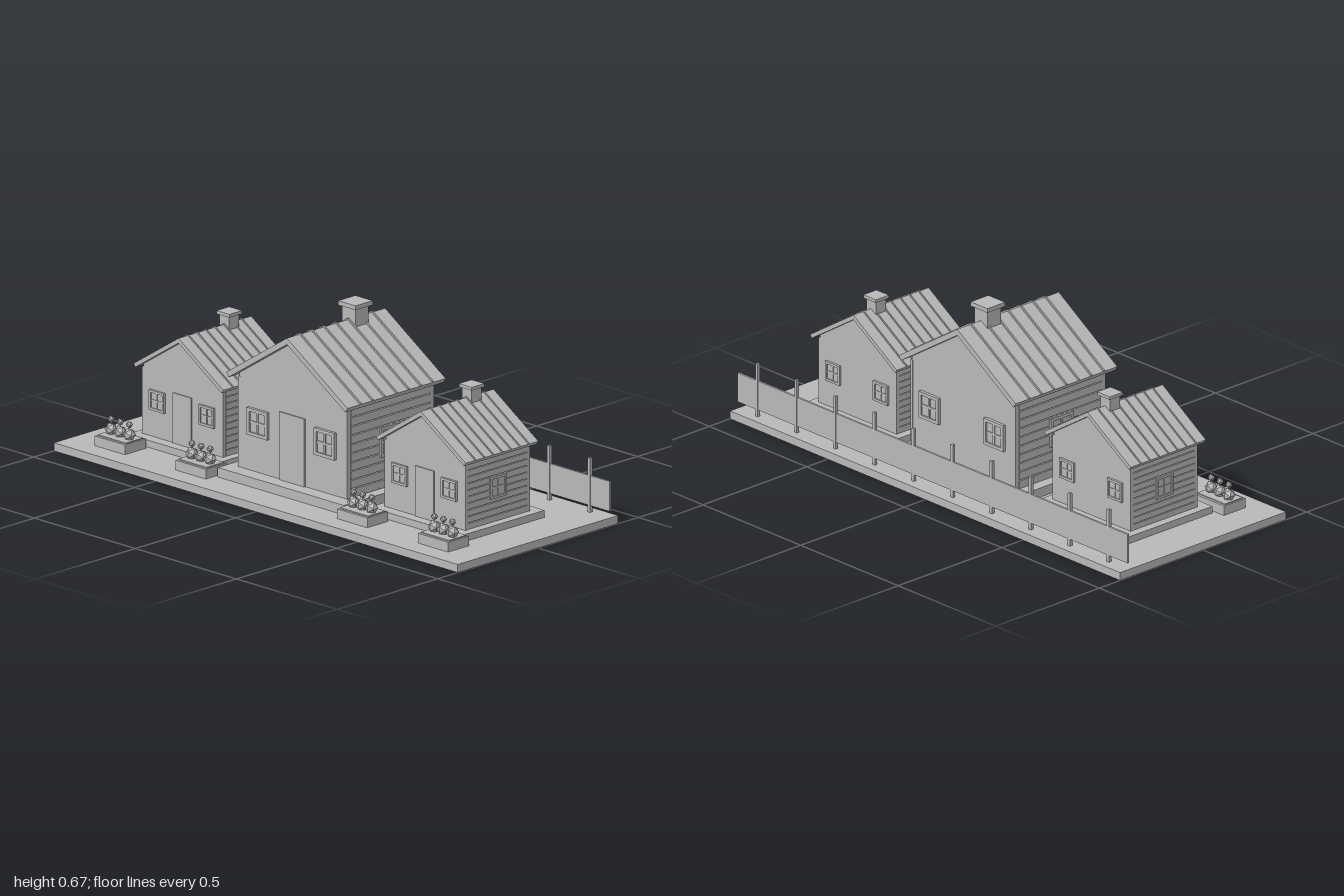
import * as THREE from 'three';

const grey = new THREE.MeshStandardMaterial({ color: 0xb8b8b8 });
grey.name = 'plain grey';

function add(parent, name, geometry, x = 0, y = 0, z = 0) {
  const mesh = new THREE.Mesh(geometry, grey);
  mesh.name = name;
  mesh.position.set(x, y, z);
  parent.add(mesh);
  return mesh;
}

const box = (parent, name, w, h, d, x, y, z) =>
  add(parent, name, new THREE.BoxGeometry(w, h, d), x, y, z);

function group(parent, name, x = 0, y = 0, z = 0) {
  const g = new THREE.Group();
  g.name = name;
  g.position.set(x, y, z);
  parent.add(g);
  return g;
}

// Four-pane window facing +z, its back on z = 0
function makeWindow(parent, size, x, y, z, turn) {
  const g = group(parent, 'window', x, y, z);
  g.rotation.y = turn;
  const bar = 0.012, half = size / 2 - bar / 2;
  box(g, 'windowPane', size - 0.004, size - 0.004, 0.006, 0, 0, 0.003);
  for (const s of [-1, 1]) {
    box(g, 'windowSideFrame', bar, size, 0.012, s * half, 0, 0.006);
    box(g, 'windowCrossFrame', size - 2 * bar, bar, 0.012, 0, s * half, 0.006);
  }
  box(g, 'windowMullion', 0.008, size - 2 * bar, 0.01, 0, 0, 0.005);
  box(g, 'windowTransom', size - 2 * bar, 0.008, 0.009, 0, 0, 0.0045);
}

// Cottage measured from the top of the ground slab
function makeHouse(parent, name, x, scale) {
  const g = group(parent, name, x, 0.03, 0);
  g.scale.setScalar(scale);
  const floor = 0.035, halfW = 0.262, halfD = 0.216;
  const ridge = 0.575, slope = 0.64, angle = Math.atan(slope);

  box(g, 'foundation', 0.625, floor, 0.55, 0, floor / 2, 0);

  // Gabled walls
  const eave = ridge - 0.024 - slope * halfW;
  const shape = new THREE.Shape();
  shape.moveTo(-halfW, floor);
  shape.lineTo(halfW, floor);
  shape.lineTo(halfW, eave);
  shape.lineTo(0, ridge - 0.024);
  shape.lineTo(-halfW, eave);
  const walls = new THREE.ExtrudeGeometry(shape, { depth: halfD * 2, bevelEnabled: false });
  add(g, 'walls', walls, 0, 0, -halfD);

  for (const s of [-1, 1]) {
    // Side boards and corner posts
    const pitch = 0.033;
    for (let i = 0; i < 10; i++) {
      box(g, 'sideBoard', 0.012, 0.029, 0.4, s * (halfW + 0.004), floor + pitch * (i + 0.5), 0);
    }
    for (const e of [-1, 1]) {
      box(g, 'cornerPost', 0.012, 0.335, 0.018, s * (halfW + 0.002), floor + 0.1675, e * 0.208);
    }

    // Roof slab, with its top running from ridge to eave
    const r = group(g, 'roofSide', 0, ridge, 0);
    r.rotation.y = s < 0 ? Math.PI : 0;
    const slab = new THREE.Shape();
    const ex = 0.3, ey = -slope * ex, t = 0.02;
    slab.moveTo(0, 0);
    slab.lineTo(0, -t / Math.cos(angle));
    slab.lineTo(ex - t * Math.sin(angle), ey - t * Math.cos(angle));
    slab.lineTo(ex, ey);
    add(r, 'roofSlab', new THREE.ExtrudeGeometry(slab, { depth: 0.49, bevelEnabled: false }), 0, 0, -0.245);

    // Raised roof seams
    for (let i = -3; i <= 3; i++) {
      const seam = box(r, 'roofSeam', Math.hypot(ex, ey), 0.01, 0.006, ex / 2, ey / 2 + 0.001, i * 0.06);
      seam.rotation.z = -angle;
    }

    // Front, back and side windows
    makeWindow(g, 0.1, s * 0.166, 0.218, halfD, 0);
    makeWindow(g, 0.1, s * 0.166, 0.218, -halfD, Math.PI);
    makeWindow(g, 0.11, s * (halfW + 0.005), 0.208, 0, s * Math.PI / 2);
  }

  box(g, 'door', 0.125, 0.25, 0.012, 0, floor + 0.125, halfD);

  // Chimney
  box(g, 'chimneyStack', 0.066, 0.13, 0.066, 0, 0.555, -0.097);
  box(g, 'chimneyCap', 0.086, 0.016, 0.086, 0, 0.628, -0.097);
}

function makePlanter(parent, x) {
  const g = group(parent, 'planter', x, 0.03, 0.27);
  box(g, 'planterBox', 0.15, 0.036, 0.104, 0, 0.018, 0);
  box(g, 'soil', 0.14, 0.006, 0.085, 0, 0.037, 0);
  for (let i = -1; i <= 1; i++) {
    const px = i * 0.045;
    add(g, 'leaves', new THREE.IcosahedronGeometry(0.024, 0), px, 0.056, 0);
    add(g, 'stem', new THREE.CylinderGeometry(0.003, 0.003, 0.04, 6), px, 0.07, 0);
    add(g, 'bloom', new THREE.IcosahedronGeometry(0.013, 0), px, 0.093, 0);
  }
}

export function createModel() {
  const model = new THREE.Group();
  model.name = 'cottageRow';
  box(model, 'ground', 2, 0.03, 0.8, 0, 0.015, 0);

  makeHouse(model, 'mainHouse', 0, 1);
  for (const s of [-1, 1]) {
    makeHouse(model, 'smallHouse', s * 0.6, 0.74);
    makePlanter(model, s * 0.4);
    makePlanter(model, s * 0.8);
  }

  // Back fence
  const fence = group(model, 'fence', 0, 0, -0.36);
  box(fence, 'fencePanel', 2, 0.11, 0.008, 0, 0.11, 0);
  for (let i = 0; i < 10; i++) {
    box(fence, 'fencePost', 0.012, 0.2, 0.012, -0.9 + i * 0.2, 0.13, 0);
  }
  return model;
}
